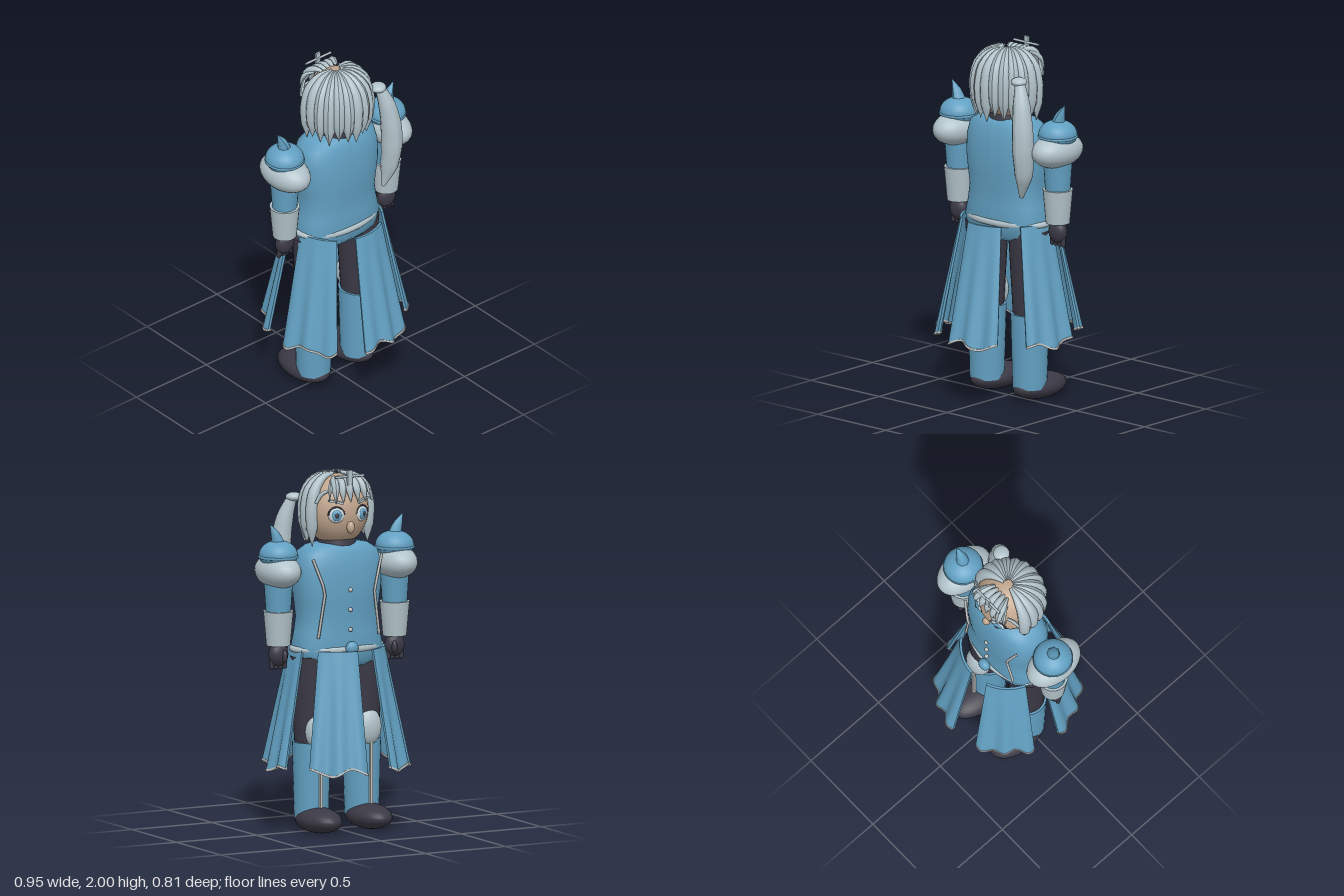
import * as THREE from 'three';

const mat = (name, color, side = THREE.FrontSide) => {
  const m = new THREE.MeshStandardMaterial({ color, side });
  m.name = name;
  return m;
};

export function createModel() {
  const blue = mat('blue cloth', 0x62a0c2);
  const pale = mat('pale grey', 0xb2c3ca);
  const dark = mat('dark leather', 0x3b3945);
  const skin = mat('skin', 0xc2a78f);
  const trim = mat('trim', 0xbfc1c0);
  const white = mat('eye white', 0xcfdde3);
  const model = new THREE.Group();

  const add = (name, geometry, material, x = 0, y = 0, z = 0, parent = model) => {
    const m = new THREE.Mesh(geometry, material);
    m.name = name;
    m.position.set(x, y, z);
    parent.add(m);
    return m;
  };
  const ball = (name, material, p, r, parent = model) => {
    const g = new THREE.SphereGeometry(1, 28, 18).scale(...r);
    return add(name, g, material, ...p, parent);
  };
  const lerpList = (list, t) => {
    const f = t * (list.length - 1), i = Math.min(Math.floor(f), list.length - 2);
    return list[i] + (list[i + 1] - list[i]) * (f - i);
  };
  // tapered tube through points [x, y, z, radius]
  const taper = (name, material, pts, steps = 14, sides = 10, parent = model) => {
    const curve = new THREE.CatmullRomCurve3(pts.map(p => new THREE.Vector3(p[0], p[1], p[2])));
    const g = new THREE.TubeGeometry(curve, steps, 1, sides);
    const pos = g.attributes.position, v = new THREE.Vector3(), radii = pts.map(p => p[3]);
    for (let i = 0; i < pos.count; i++) {
      const t = Math.floor(i / (sides + 1)) / steps, c = curve.getPointAt(t);
      v.fromBufferAttribute(pos, i).sub(c).multiplyScalar(lerpList(radii, t)).add(c);
      pos.setXYZ(i, v.x, v.y, v.z);
    }
    g.computeVertexNormals();
    return add(name, g, material, 0, 0, 0, parent);
  };
  // rounded-box body from rings [y, half width, half depth], top first
  const body = (name, material, rings, power) => {
    const g = new THREE.CylinderGeometry(1, 1, 1, 48, rings.length - 1, true);
    const pos = g.attributes.position, n = rings.length - 1;
    const se = c => Math.sign(c) * Math.abs(c) ** (2 / power);
    for (let i = 0; i < pos.count; i++) {
      const [y, rx, rz] = rings[Math.round((0.5 - pos.getY(i)) * n)];
      pos.setXYZ(i, rx * se(pos.getX(i)), y, rz * se(pos.getZ(i)));
    }
    g.computeVertexNormals();
    return add(name, g, material);
  };

  // jacket, hips and belt
  body('jacket', blue, [
    [1.6, 0.001, 0.001], [1.59, 0.1, 0.08], [1.575, 0.18, 0.11], [1.54, 0.235, 0.135], [1.46, 0.255, 0.15],
    [1.36, 0.255, 0.158], [1.26, 0.242, 0.155], [1.18, 0.233, 0.148], [1.1, 0.245, 0.15], [1.01, 0.265, 0.156],
    [0.94, 0.25, 0.145], [0.91, 0.2, 0.12], [0.9, 0.001, 0.001]], 2.5);
  add('belt', new THREE.TorusGeometry(1, 0.07, 10, 48).rotateX(Math.PI / 2).scale(0.262, 0.25, 0.158), pale, 0, 1.01, 0);
  ball('buckle', blue, [0, 1.02, -0.175], [0.037, 0.037, 0.028]);
  for (const y of [1.34, 1.23, 1.12]) ball('button', trim, [0, y, -0.158], [0.012, 0.012, 0.012]);

  // five flared skirt panels, bent from thin boxes
  const panel = (name, material, phi, v0, v1, thick) => {
    const g = new THREE.BoxGeometry(1, 1, 1, 24, 10, 1);
    const pos = g.attributes.position;
    for (let i = 0; i < pos.count; i++) {
      const u = pos.getX(i), d = v0 + (0.5 - pos.getY(i)) * (v1 - v0);
      const a = phi + u * 0.85;
      const r = 0.257 + 0.13 * d + 0.014 * d * Math.cos(u * 16) + pos.getZ(i) * thick;
      const y = 1.015 - d * (0.655 + 0.02 * Math.sin(u * 9 + phi));
      pos.setXYZ(i, r * Math.sin(a), y, r * Math.cos(a));
    }
    g.computeVertexNormals();
    add(name, g, material);
  };
  for (let k = 0; k < 5; k++) {
    const phi = (9 + 72 * k) * Math.PI / 180;
    panel('skirtPanel', blue, phi, 0, 0.985, 0.014);
    panel('skirtHem', trim, phi, 0.985, 1.003, 0.02);
  }

  // limbs and paired parts
  for (const s of [-1, 1]) {
    const side = s > 0 ? 'left' : 'right';
    const leg = new THREE.Group();
    leg.name = side + 'Leg';
    leg.position.x = s * 0.157;
    model.add(leg);
    add('thigh', new THREE.CylinderGeometry(0.12, 0.092, 0.5, 28), dark, 0, 0.72, 0, leg);
    add('greave', new THREE.CylinderGeometry(0.106, 0.095, 0.42, 28), blue, 0, 0.285, 0, leg);
    add('greaveStripe', new THREE.BoxGeometry(0.016, 0.34, 0.016), trim, 0, 0.31, -0.107, leg);
    ball('kneePad', pale, [0, 0.56, -0.075], [0.075, 0.105, 0.06], leg);
    ball('shoe', dark, [0, 0.07, -0.08], [0.11, 0.07, 0.182], leg);

    const arm = new THREE.Group();
    arm.name = side + 'Arm';
    arm.position.x = s * 0.363;
    model.add(arm);
    ball('puffSleeve', pale, [0, 1.45, 0.005], [0.113, 0.095, 0.172], arm);
    ball('pauldron', blue, [0, 1.54, 0], [0.106, 0.08, 0.108], arm);
    add('pauldronRim', new THREE.TorusGeometry(0.102, 0.009, 8, 32).rotateX(Math.PI / 2), blue, 0, 1.53, 0, arm);
    taper('pauldronSpike', blue, [[0, 1.59, 0, 0.042], [s * 0.012, 1.635, 0, 0.026], [s * 0.053, 1.715, 0, 0]], 6, 8, arm);
    add('sleeve', new THREE.CylinderGeometry(0.082, 0.066, 0.24, 24), blue, 0, 1.3, 0, arm);
    add('cuff', new THREE.CylinderGeometry(0.083, 0.066, 0.19, 24), pale, 0, 1.135, 0, arm);
    ball('hand', dark, [0, 0.99, 0], [0.058, 0.065, 0.042], arm);
    for (let i = 0; i < 4; i++)
      add('finger', new THREE.CapsuleGeometry(0.013, 0.035, 4, 8), dark, (i - 1.5) * 0.027, 0.937, 0, arm);
    ball('thumb', dark, [-s * 0.02, 0.98, -0.035], [0.016, 0.035, 0.018], arm);

    // lapel piping
    const lapel = new THREE.CurvePath();
    const pts = [[0.215, 1.52, -0.122], [0.165, 1.37, -0.15], [0.155, 1.32, -0.15], [0.19, 1.08, -0.138]]
      .map(p => new THREE.Vector3(s * p[0], p[1], p[2]));
    for (let i = 0; i < 3; i++) lapel.add(new THREE.LineCurve3(pts[i], pts[i + 1]));
    add(side + 'LapelPiping', new THREE.TubeGeometry(lapel, 30, 0.008, 6), trim);

    // eye, brow and ear
    const eye = new THREE.Group();
    eye.name = side + 'Eye';
    eye.position.set(s * 0.077, 1.755, -0.138);
    eye.rotation.y = -s * 0.32;
    model.add(eye);
    ball('eyeWhite', white, [0, 0, 0], [0.046, 0.043, 0.02], eye);
    ball('iris', blue, [0, 0, -0.013], [0.028, 0.031, 0.012], eye);
    ball('pupil', dark, [0, 0, -0.021], [0.013, 0.016, 0.007], eye);
    const lid = add('lashLine', new THREE.TorusGeometry(0.045, 0.005, 6, 16, Math.PI), dark, 0, 0.002, -0.006, eye);
    lid.scale.y = 0.95;
    const brow = add(side + 'Brow', new THREE.BoxGeometry(0.085, 0.013, 0.014), pale, s * 0.085, 1.83, -0.147);
    brow.rotation.set(0, -s * 0.45, s * 0.2);
    ball(side + 'Ear', skin, [s * 0.178, 1.7, 0], [0.022, 0.045, 0.03]);
  }

  // head
  add('collar', new THREE.CylinderGeometry(0.1, 0.11, 0.05, 28), dark, 0, 1.595, 0);
  ball('head', skin, [0, 1.765, 0], [0.178, 0.198, 0.165]);
  ball('nose', skin, [0, 1.685, -0.16], [0.022, 0.034, 0.022]);

  // locks fanned around the back and sides of the head
  for (let i = 0; i < 13; i++) {
    const a = (-12 + i * 17) * Math.PI / 180, c = Math.cos(a), s = Math.sin(a);
    const at = (r, y, w) => [r * c, y, r * s, w];
    const tip = 1.575 + (i % 3) * 0.015;
    taper('hairLock', pale, [at(0.025, 1.968, 0.008), at(0.095, 1.95, 0.024), at(0.155, 1.89, 0.034),
      at(0.176, 1.8, 0.038), at(0.178, 1.7, 0.032), at(0.176, tip, 0)], 14, 10);
  }
  // fringe lifted off the forehead
  for (let i = -2; i <= 2; i++) {
    taper('fringeLock', pale, [[i * 0.025, 1.945, -0.05, 0.008], [i * 0.032, 1.952, -0.085, 0.023],
      [i * 0.042, 1.91, -0.14, 0.021], [i * 0.046, 1.82, -0.165, 0]], 10, 8);
  }
  add('fringeBar', new THREE.CylinderGeometry(0.007, 0.007, 0.18, 8).rotateZ(Math.PI / 2), pale, 0, 1.965, -0.145);
  add('fringeTuft', new THREE.BoxGeometry(0.03, 0.1, 0.012), pale, 0, 1.95, -0.148);
  for (const s of [-1, 1]) {
    taper('fringeSideLock', pale, [[s * 0.08, 1.94, -0.08, 0.006], [s * 0.11, 1.91, -0.13, 0.013], [s * 0.13, 1.83, -0.155, 0]], 6, 6);
    taper('templeLock', pale, [[s * 0.12, 1.89, -0.12, 0.009], [s * 0.15, 1.87, -0.1, 0.011], [s * 0.175, 1.82, -0.085, 0.009]], 6, 6);
  }

  // side ponytail and its band
  ball('ponytailBand', pale, [0.195, 1.83, 0.13], [0.045, 0.025, 0.045]);
  taper('ponytail', pale, [[0.2, 1.84, 0.13, 0.025], [0.235, 1.72, 0.155, 0.048], [0.255, 1.58, 0.168, 0.058],
    [0.26, 1.44, 0.168, 0.06], [0.252, 1.31, 0.155, 0.05], [0.222, 1.185, 0.14, 0.012]], 20, 14);

  return model;
}
